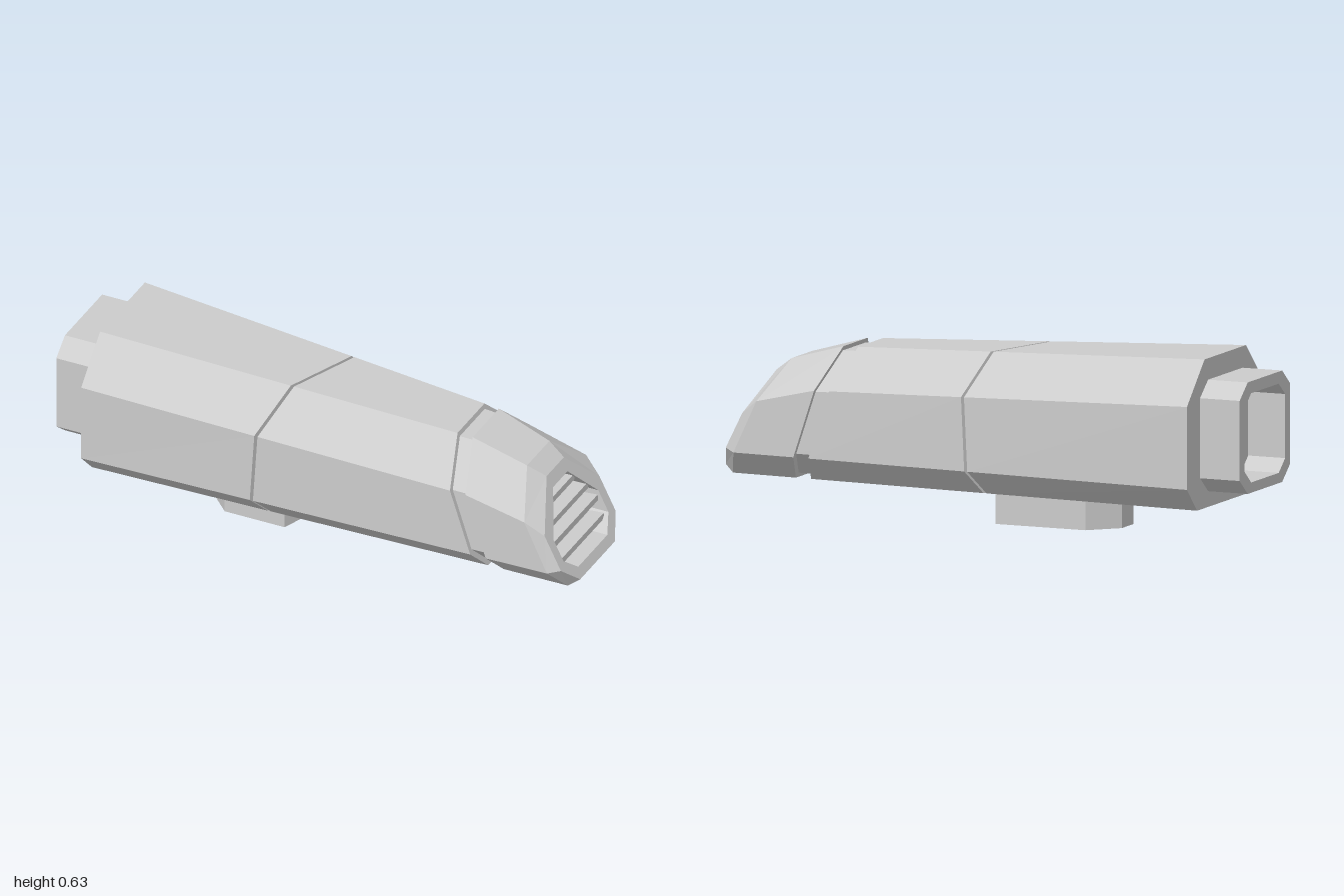
import * as THREE from 'three';

const material = new THREE.MeshStandardMaterial({ color: 0xcccccc, flatShading: true, side: THREE.DoubleSide });

// Skin a list of eight-sided rings, closing both ends; outward when rings run towards +x
function loft(name, rings) {
  const pos = [];
  const tri = (...pts) => pts.forEach(p => pos.push(p.x, p.y, p.z));
  const n = rings[0].length;
  const centre = ring => ring.reduce((s, p) => s.add(p), new THREE.Vector3()).divideScalar(n);
  const first = rings[0], last = rings[rings.length - 1];
  const c0 = centre(first), c1 = centre(last);
  for (let i = 0; i < n; i++) {
    const j = (i + 1) % n;
    for (let k = 0; k < rings.length - 1; k++) {
      const a = rings[k], b = rings[k + 1];
      tri(a[i], b[j], a[j]);
      tri(a[i], b[i], b[j]);
    }
    tri(c0, first[i], first[j]);
    tri(c1, last[j], last[i]);
  }
  const geometry = new THREE.BufferGeometry();
  geometry.setAttribute('position', new THREE.Float32BufferAttribute(pos, 3));
  geometry.computeVertexNormals();
  const mesh = new THREE.Mesh(geometry, material);
  mesh.name = name;
  return mesh;
}

// Chamfered section on the plane x = x0 + ky * y.
// zs: top, upper side, bottom limits as [+z, -z]; ys: top, upper side, lower side, bottom
function section(x0, ky, [top, side, bottom], [y0, y1, y2, y3]) {
  return [[top[0], y0], [top[1], y0], [side[1], y1], [side[1], y2],
    [bottom[1], y3], [bottom[0], y3], [side[0], y2], [side[0], y1]]
    .map(([z, y]) => new THREE.Vector3(x0 + ky * y, y, z));
}

const shift = (ring, dx) => ring.map(p => p.clone().setX(p.x + dx));

// Body guide edges run from the large rear section to the slanted front section
const rear = section(-0.85, 0, [[0.175, -0.175], [0.323, -0.323], [0.238, -0.238]], [0.63, 0.485, 0.195, 0.11]);
const front = section(0.69, -0.324, [[0.13, -0.08], [0.28, -0.227], [0.195, -0.142]], [0.573, 0.435, 0.195, 0.11]);

// Cut the guide edges with the plane x = x0 + ky * y + kz * z
function cut(x0, ky, kz) {
  const f = p => p.x - x0 - ky * p.y - kz * p.z;
  return rear.map((a, i) => {
    const b = front[i];
    return a.clone().lerp(b, f(a) / (f(a) - f(b)));
  });
}

// Shrink a ring towards its own axis
function inset(ring, s) {
  const mid = ring.reduce((t, p) => t + p.z, 0) / ring.length;
  return ring.map(p => new THREE.Vector3(p.x, 0.345 + (p.y - 0.345) * s, mid + (p.z - mid) * s));
}

export function createModel() {
  const model = new THREE.Group();

  // Two body shells with a slanted seam, over a slightly smaller core
  model.add(loft('rearBody', [rear, cut(-0.106, 0.06, -0.38)]));
  model.add(loft('frontBody', [cut(-0.094, 0.06, -0.38), front]));
  model.add(loft('innerCore', [inset(cut(-0.6, 0, 0), 0.94), inset(cut(0.76, -0.33, 0), 0.93)]));

  // Nozzle with bevelled lip and recessed opening
  const opening = section(1.064, -0.5, [[0.087, -0.025], [0.213, -0.138], [0.15, -0.077]], [0.425, 0.3, 0.222, 0.17]);
  model.add(loft('nozzle', [
    cut(0.75, -0.33, 0),
    section(1.01, -0.47, [[0.125, -0.05], [0.272, -0.21], [0.19, -0.125]], [0.512, 0.38, 0.195, 0.11]),
    section(1.064, -0.5, [[0.095, -0.04], [0.25, -0.178], [0.17, -0.1]], [0.468, 0.33, 0.205, 0.135]),
    opening,
    shift(opening, -0.08),
  ]));

  // Grille slats across the opening
  const grille = new THREE.Group();
  grille.name = 'grille';
  for (const y of [0.379, 0.323, 0.268, 0.209]) {
    const up = Math.max(0, y - 0.3);
    const down = Math.max(0, 0.222 - y);
    const z0 = -0.138 + up * 0.9 + down, z1 = 0.213 - up - down;
    const slat = new THREE.Mesh(new THREE.BoxGeometry(0.055, 0.022, z1 - z0), material);
    slat.name = 'slat';
    slat.position.set(1.064 - 0.5 * y - 0.045, y, (z0 + z1) / 2);
    slat.rotation.z = 0.08;
    grille.add(slat);
  }
  model.add(grille);

  // Hollow rear socket
  const socket = x => section(x, 0, [[0.145, -0.145], [0.213, -0.213], [0.145, -0.145]], [0.555, 0.5, 0.22, 0.165]);
  const bore = x => inset(socket(x), 0.8);
  model.add(loft('rearSocket', [bore(-0.86), bore(-1), socket(-1), socket(-0.84)]));

  // Six-sided foot, its front side parallel to the seam
  const outline = [[-0.16, 0.135], [-0.05, -0.155], [-0.39, -0.155], [-0.485, -0.06], [-0.485, 0.04], [-0.39, 0.135]];
  const footShape = new THREE.Shape(outline.map(([x, z]) => new THREE.Vector2(x, -z)));
  const foot = new THREE.Mesh(new THREE.ExtrudeGeometry(footShape, { depth: 0.12, bevelEnabled: false }), material);
  foot.name = 'foot';
  foot.rotation.x = -Math.PI / 2;
  model.add(foot);

  return model;
}
